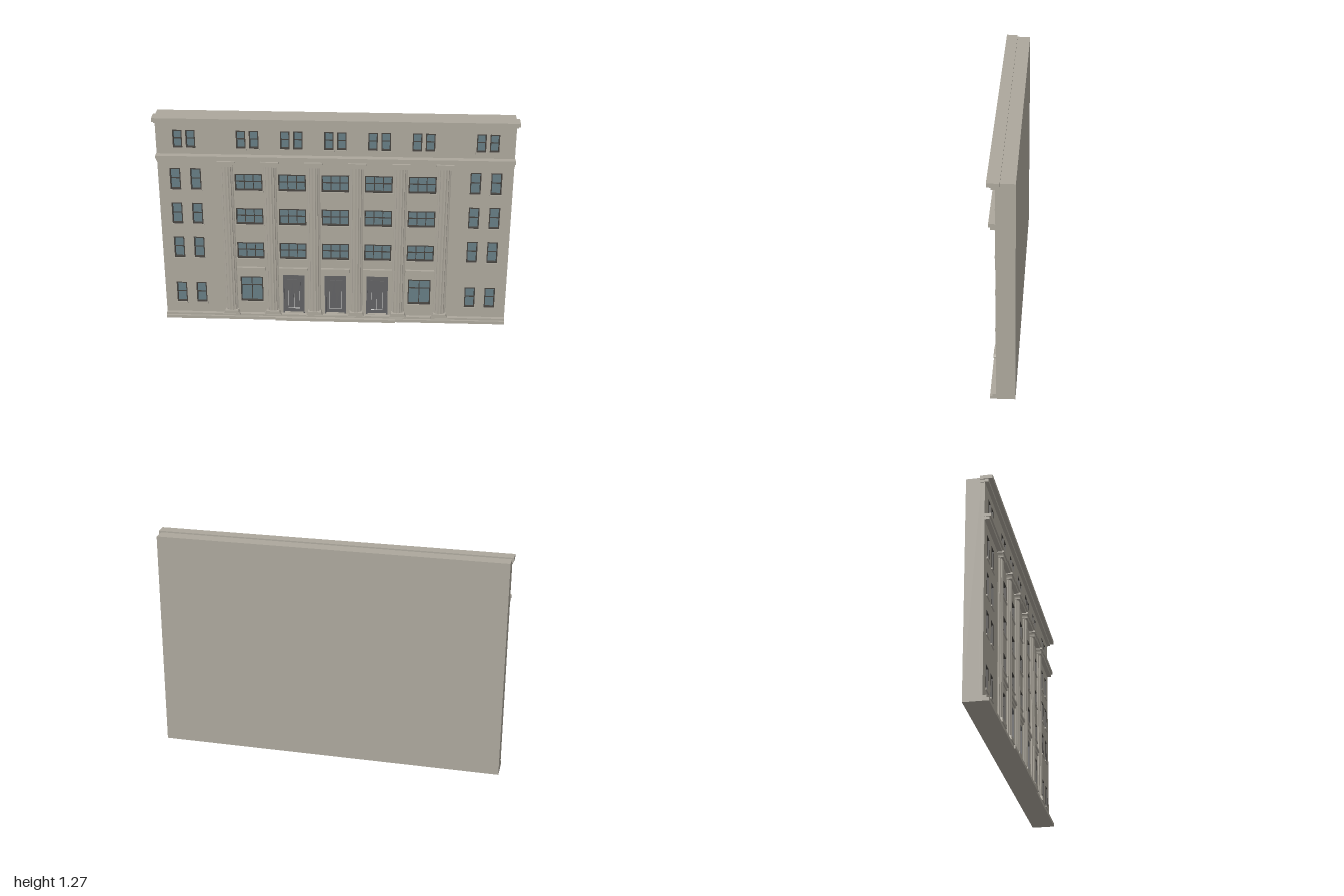
import * as THREE from 'three';

const mat = (name, color) => {
  const m = new THREE.MeshStandardMaterial({ color });
  m.name = name;
  return m;
};

export function createModel() {
  const stone = mat('stone', 0xaca79c);
  const glass = mat('windowGlass', 0x667d84);
  const dark = mat('darkFrame', 0x45423e);
  const doorGrey = mat('doorGrey', 0x626264);
  const pale = mat('paleMetal', 0xd8d8d6);

  const model = new THREE.Group();
  model.name = 'officeBuildingFacade';

  const LEFT = -0.99, RIGHT = 0.985, TOP = 1.264;
  const WALL = 0.03, RECESS = 0.013;

  const add = (parent, name, geometry, material) => {
    const mesh = new THREE.Mesh(geometry, material);
    mesh.name = name;
    parent.add(mesh);
    return mesh;
  };
  // Box given by its limits on each axis
  const block = (parent, name, material, x0, x1, y0, y1, z0, z1) => {
    const g = new THREE.BoxGeometry(x1 - x0, y1 - y0, z1 - z0);
    g.translate((x0 + x1) / 2, (y0 + y1) / 2, (z0 + z1) / 2);
    return add(parent, name, g, material);
  };
  const group = (name) => {
    const g = new THREE.Group();
    g.name = name;
    model.add(g);
    return g;
  };
  const rect = (Type, x0, x1, y0, y1) => {
    const s = new Type();
    s.moveTo(x0, y0);
    s.lineTo(x1, y0);
    s.lineTo(x1, y1);
    s.lineTo(x0, y1);
    s.closePath();
    return s;
  };

  const bays = [-0.485, -0.242, 0, 0.242, 0.485];
  const doorBays = bays.slice(1, 4);

  // Opening list: centre x, width, bottom, top, vertical bars, horizontal bar height
  const windows = [];
  const put = (x, w, y0, y1, bars, split = 0.5) => windows.push({ x, w, y0, y1, bars, split });
  for (const [y0, y1] of [[0.825, 0.957], [0.61, 0.742], [0.392, 0.525], [0.095, 0.226]]) {
    for (const x of [-0.895, -0.78, 0.778, 0.893]) put(x, 0.06, y0, y1, []);
  }
  for (const x of [-0.835, -0.485, -0.242, 0, 0.242, 0.485, 0.835]) {
    for (const side of [-1, 1]) put(x + side * 0.036, 0.052, 1.082, 1.188, []);
  }
  for (const [y0, y1] of [[0.825, 0.927], [0.612, 0.713], [0.393, 0.495]]) {
    for (const x of bays) put(x, 0.154, y0, y1, [-0.025, 0.025]);
  }
  for (const x of [bays[0], bays[4]]) put(x, 0.13, 0.107, 0.27, [0], 0.63);

  // Rear block and the pierced front wall
  block(model, 'buildingBody', stone, LEFT, RIGHT, 0, TOP, -0.071, RECESS);
  const face = rect(THREE.Shape, LEFT, RIGHT, 0, TOP);
  for (const o of windows) {
    face.holes.push(rect(THREE.Path, o.x - o.w / 2, o.x + o.w / 2, o.y0, o.y1));
  }
  for (const x of doorBays) {
    face.holes.push(rect(THREE.Path, x - 0.062, x + 0.062, 0.032, 0.285));
  }
  const wallGeo = new THREE.ExtrudeGeometry(face, { depth: WALL - RECESS, bevelEnabled: false });
  wallGeo.translate(0, 0, RECESS);
  add(model, 'frontWall', wallGeo, stone);

  // Windows: recessed glass, dark frame lining, glazing bars and a sill
  const windowGroup = group('windows');
  for (const o of windows) {
    const x0 = o.x - o.w / 2, x1 = o.x + o.w / 2, t = 0.006, h = o.y1 - o.y0;
    const z0 = RECESS, z1 = WALL + 0.001;
    block(windowGroup, 'glass', glass, x0, x1, o.y0, o.y1, z0, z0 + 0.003);
    block(windowGroup, 'frameSide', dark, x0, x0 + t, o.y0, o.y1, z0, z1);
    block(windowGroup, 'frameSide', dark, x1 - t, x1, o.y0, o.y1, z0, z1);
    block(windowGroup, 'frameHead', dark, x0, x1, o.y1 - t, o.y1, z0, z1);
    block(windowGroup, 'frameFoot', dark, x0, x1, o.y0, o.y0 + t, z0, z1);
    const my = o.y0 + h * o.split;
    block(windowGroup, 'crossBar', dark, x0, x1, my - 0.0025, my + 0.0025, z0, z0 + 0.007);
    for (const b of o.bars) {
      block(windowGroup, 'uprightBar', dark, o.x + b - 0.0025, o.x + b + 0.0025, o.y0, o.y1, z0, z0 + 0.007);
    }
    block(windowGroup, 'sill', stone, x0 - 0.004, x1 + 0.004, o.y0 - 0.009, o.y0, WALL - 0.005, 0.037);
  }

  // Recessed double doors
  const doors = group('doors');
  for (const x of doorBays) {
    block(doors, 'doorBacking', doorGrey, x - 0.062, x + 0.062, 0.032, 0.285, RECESS, 0.016);
    for (const s of [-1, 1]) {
      block(doors, 'doorJamb', doorGrey, x + s * 0.058 - 0.004, x + s * 0.058 + 0.004, 0.032, 0.285, RECESS, 0.031);
      block(doors, 'doorLeaf', doorGrey, x + s * 0.021 - 0.019, x + s * 0.021 + 0.019, 0.055, 0.25, 0.016, 0.02);
      block(doors, 'pullHandle', pale, x + s * 0.034 - 0.001, x + s * 0.034 + 0.001, 0.06, 0.175, 0.02, 0.022);
    }
    block(doors, 'doorHead', doorGrey, x - 0.062, x + 0.062, 0.262, 0.285, RECESS, 0.031);
    block(doors, 'doorSeam', pale, x - 0.001, x + 0.001, 0.06, 0.175, 0.016, 0.021);
    block(doors, 'kickStrip', pale, x - 0.034, x + 0.034, 0.057, 0.06, 0.02, 0.022);
  }

  // Fluted half-columns with flared capitals and bases
  const columns = group('columns');
  const section = new THREE.Shape();
  const flutes = 7, steps = flutes * 6;
  section.moveTo(-0.036, -0.028);
  for (let i = 0; i <= steps; i++) {
    const a = Math.PI * (1 - i / steps);
    const cut = 1 - 0.11 * Math.abs(Math.sin((i / 6) * Math.PI));
    section.lineTo(0.036 * cut * Math.cos(a), -0.03 - 0.024 * cut * Math.sin(a));
  }
  section.lineTo(0.036, -0.028);
  const shaftGeo = new THREE.ExtrudeGeometry(section, { depth: 0.95, bevelEnabled: false });
  shaftGeo.rotateX(-Math.PI / 2);
  const flare = (y0, y1, w0, w1) => {
    const s = new THREE.Shape();
    s.moveTo(-w0, y0);
    s.lineTo(w0, y0);
    s.quadraticCurveTo(Math.min(w0, w1), (y0 + y1) / 2, w1, y1);
    s.lineTo(-w1, y1);
    s.quadraticCurveTo(-Math.min(w0, w1), (y0 + y1) / 2, -w0, y0);
    const g = new THREE.ExtrudeGeometry(s, { depth: 0.032, bevelEnabled: false, curveSegments: 4 });
    g.translate(0, 0, 0.028);
    return g;
  };
  const capitalGeo = flare(0.982, 1.008, 0.037, 0.05);
  const baseGeo = flare(0.032, 0.056, 0.05, 0.038);
  for (const x of [-0.605, -0.364, -0.121, 0.121, 0.364, 0.605]) {
    add(columns, 'flutedShaft', shaftGeo, stone).position.set(x, 0.04, 0);
    add(columns, 'capital', capitalGeo, stone).position.x = x;
    add(columns, 'columnBase', baseGeo, stone).position.x = x;
    block(columns, 'abacus', stone, x - 0.05, x + 0.05, 1.004, 1.015, 0.028, 0.067);
    block(columns, 'plinth', stone, x - 0.05, x + 0.05, 0.026, 0.034, 0.028, 0.064);
  }

  // Ledge above the ground floor between the columns
  const ledges = group('groundFloorLedges');
  for (const x of bays) {
    block(ledges, 'ledge', stone, x - 0.083, x + 0.083, 0.324, 0.336, 0.028, 0.045);
    block(ledges, 'ledgeMoulding', stone, x - 0.083, x + 0.083, 0.308, 0.324, 0.028, 0.037);
  }

  // Cornices, base course and entrance step
  const trim = group('trim');
  block(trim, 'middleBand', stone, LEFT, RIGHT, 1.01, 1.026, 0.028, 0.055);
  block(trim, 'middleCornice', stone, LEFT - 0.003, RIGHT + 0.003, 1.026, 1.045, 0.028, 0.064);
  block(trim, 'crownMoulding', stone, -0.994, 0.992, 1.235, 1.25, 0.008, 0.05);
  block(trim, 'crownCornice', stone, -1, 1, 1.25, 1.272, 0.006, 0.072);
  block(trim, 'baseCourse', stone, LEFT, RIGHT, 0, 0.018, 0.028, 0.062);
  block(trim, 'baseMoulding', stone, LEFT, RIGHT, 0.018, 0.03, 0.028, 0.05);
  block(trim, 'entranceStep', stone, -0.35, 0.35, 0, 0.018, 0.028, 0.071);

  return model;
}
